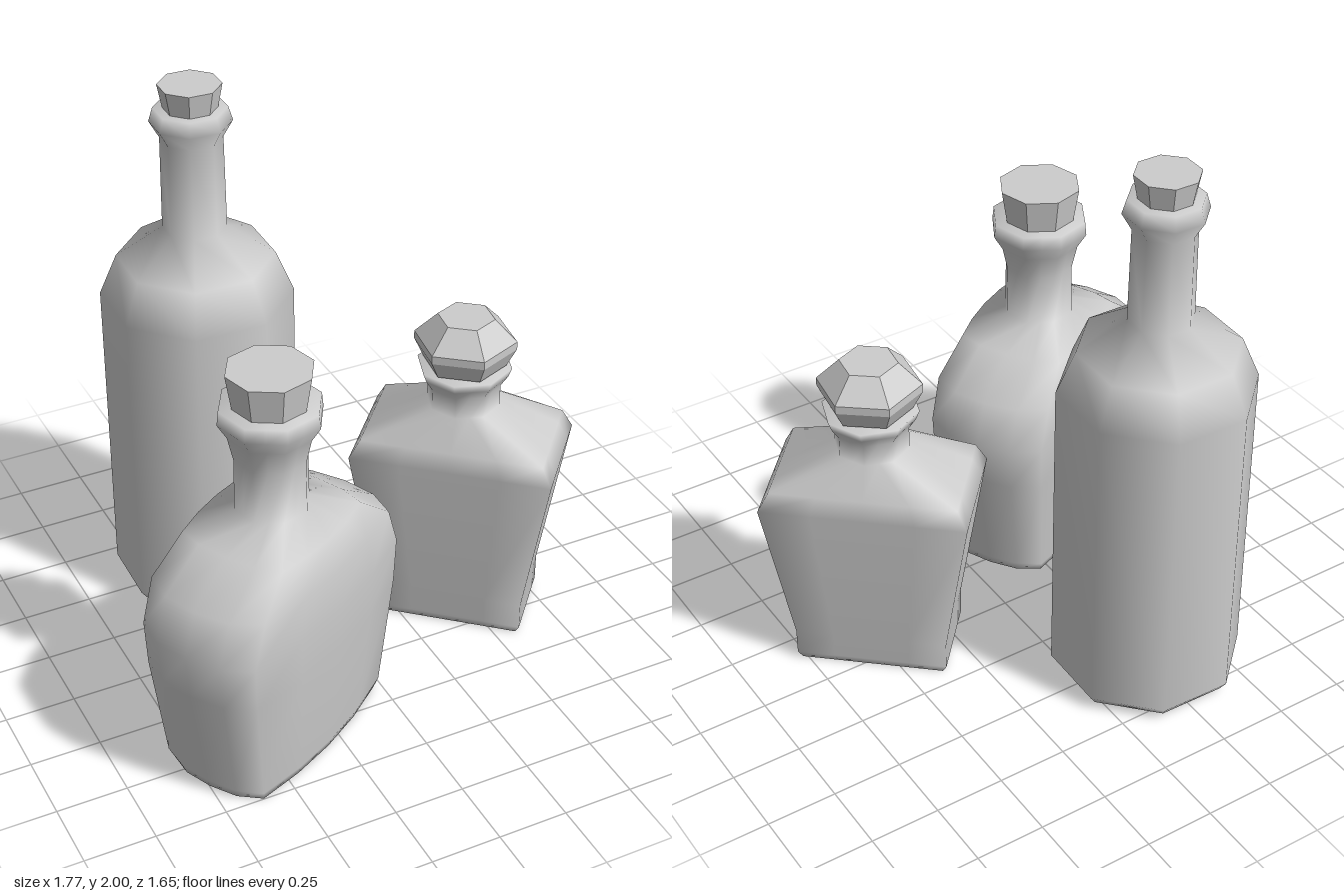
import * as THREE from 'three';

const smooth = new THREE.MeshStandardMaterial({ color: 0xcccccc });
const faceted = new THREE.MeshStandardMaterial({ color: 0xcccccc, flatShading: true });
const rad = THREE.MathUtils.degToRad;
const N = 16;

// Body section: corners (a, b), bulging to A at the ends and B at the sides
function bodyRing(y, a, b, A = a, B = b) {
  const quarter = [[A, 0], [a + (A - a) * 0.8, b * 0.56], [a, b], [a * 0.5, b + (B - b) * 0.75], [0, B]];
  return Array.from({ length: N }, (_, k) => {
    const j = k % 8;
    const [x, z] = quarter[j <= 4 ? j : 8 - j];
    return [k <= 4 || k >= 12 ? x : -x, y, k <= 8 ? z : -z];
  });
}

// Neck section: octagon, with a point halfway along each side
function neckRing(y, r, twist = 0) {
  return Array.from({ length: N }, (_, k) => {
    const t = (k / N) * Math.PI * 2 + twist;
    const q = k % 2 ? r * Math.cos(Math.PI / 8) : r;
    return [q * Math.cos(t), y, q * Math.sin(t)];
  });
}

// Skin over a stack of rings, closed at both ends
function loft(rings) {
  const index = [];
  const top = (rings.length - 1) * N;
  const c0 = rings.length * N;
  for (let k = 0; k < N; k++) {
    const n = (k + 1) % N;
    for (let i = 0; i < top; i += N) {
      index.push(i + k, i + N + k, i + n, i + n, i + N + k, i + N + n);
    }
    index.push(c0, k, n, c0 + 1, top + n, top + k);
  }
  const centres = [[0, rings[0][0][1], 0], [0, rings.at(-1)[0][1], 0]];
  const g = new THREE.BufferGeometry();
  g.setAttribute('position', new THREE.Float32BufferAttribute([...rings.flat(), ...centres].flat(), 3));
  g.setIndex(index);
  g.computeVertexNormals();
  return g;
}

function add(parent, name, geometry, material) {
  const mesh = new THREE.Mesh(geometry, material);
  mesh.name = name;
  parent.add(mesh);
  return mesh;
}

function place(parent, name, x, z, degrees) {
  const g = new THREE.Group();
  g.name = name;
  g.position.set(x, 0, z);
  g.rotation.y = rad(degrees);
  parent.add(g);
  return g;
}

const lathe = (profile, sides) =>
  new THREE.LatheGeometry(profile.map(([r, y]) => new THREE.Vector2(r, y)), sides);

// Tapered eight-sided cork standing between two heights
function addCork(parent, rTop, rBottom, y0, y1, twist) {
  const cork = add(parent, 'cork', new THREE.CylinderGeometry(rTop, rBottom, y1 - y0, 8), faceted);
  cork.position.y = (y0 + y1) / 2;
  cork.rotation.y = rad(twist);
}

export function createModel() {
  const model = new THREE.Group();
  model.name = 'bottles';

  // Tall eight-sided bottle
  const tall = place(model, 'tallBottle', -0.265, -0.51, -24);
  add(tall, 'tallBottleGlass', lathe([
    [0, 0.015], [0.315, 0.015], [0.34, 0.05], [0.34, 1.2], [0.277, 1.35], [0.112, 1.46],
    [0.108, 1.8], [0.142, 1.86], [0.127, 1.91], [0, 1.91],
  ], 8), smooth);
  addCork(tall, 0.11, 0.09, 1.89, 1.995, 0);

  // Broad flask with rounded shoulders
  const flask = place(model, 'flask', -0.415, 0.42, 30);
  const twist = rad(-8);
  add(flask, 'flaskGlass', loft([
    bodyRing(0, 0.335, 0.185, 0.385, 0.22),
    bodyRing(0.04, 0.35, 0.197, 0.4, 0.235),
    bodyRing(0.45, 0.405, 0.218, 0.468, 0.265),
    bodyRing(0.62, 0.414, 0.222, 0.487, 0.27),
    bodyRing(0.77, 0.36, 0.222, 0.43, 0.26),
    bodyRing(0.88, 0.225, 0.195, 0.26, 0.222),
    neckRing(0.94, 0.128, twist),
    neckRing(1.13, 0.125, twist),
    neckRing(1.22, 0.145, twist),
    neckRing(1.275, 0.177, twist),
    neckRing(1.325, 0.172, twist),
  ]), smooth);
  addCork(flask, 0.147, 0.125, 1.31, 1.45, 8);

  // Rectangular decanter, tapering to its foot
  const decanter = place(model, 'decanter', 0.48, 0.09, -41.6);
  add(decanter, 'decanterGlass', loft([
    bodyRing(0, 0.255, 0.143),
    bodyRing(0.03, 0.27, 0.153),
    bodyRing(0.13, 0.27, 0.155),
    bodyRing(0.7, 0.361, 0.207),
    bodyRing(0.77, 0.325, 0.188),
    neckRing(0.88, 0.13),
    neckRing(0.96, 0.13),
    neckRing(1.0, 0.155),
    neckRing(1.035, 0.168),
  ]), smooth);

  // Cut six-sided stopper
  const stopper = add(decanter, 'stopper', lathe([
    [0, 1.03], [0.145, 1.04], [0.18, 1.11], [0.18, 1.14], [0.1, 1.22], [0, 1.22],
  ], 6), faceted);
  stopper.rotation.y = rad(33);

  return model;
}
